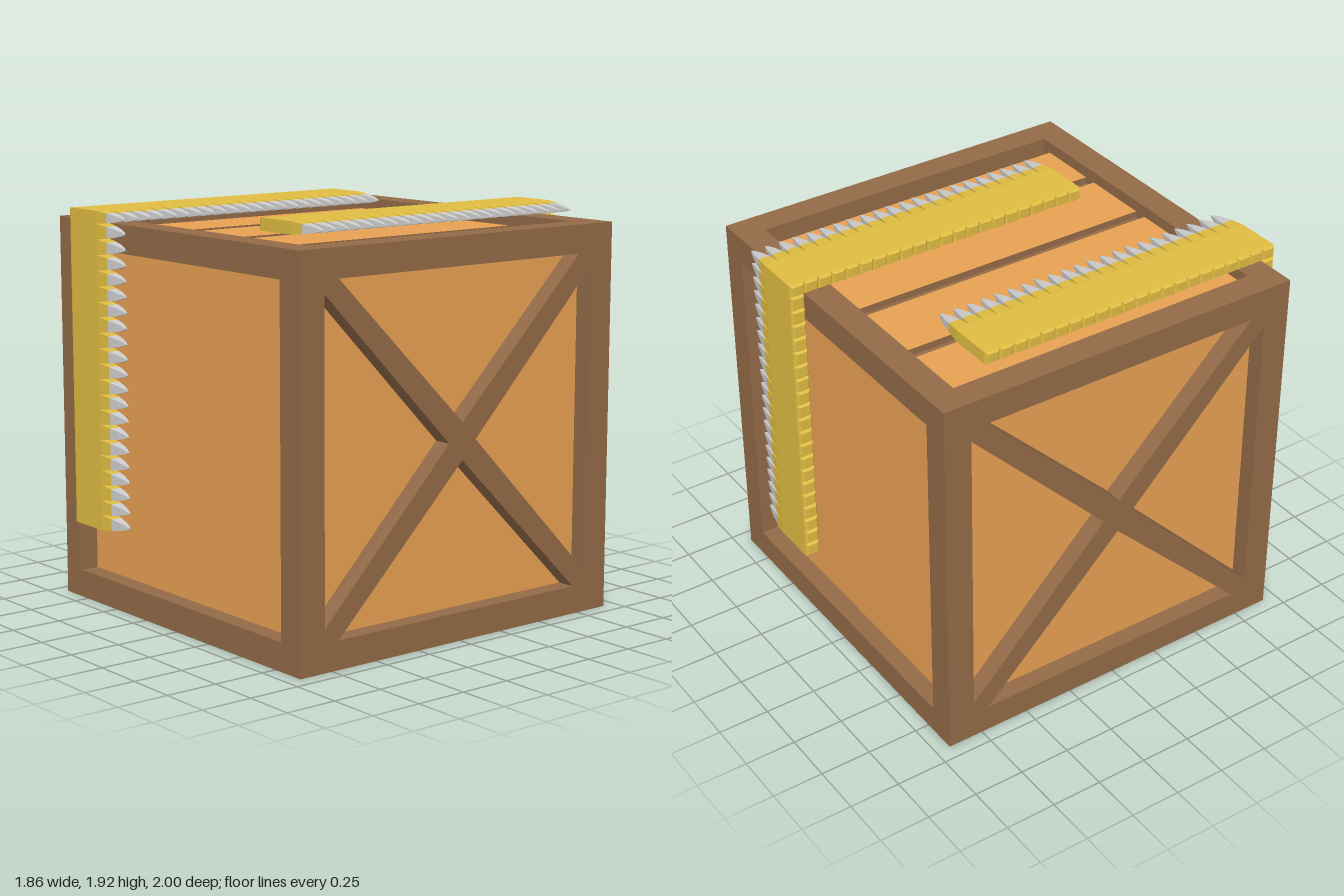
import * as THREE from 'three';
import { mergeGeometries } from 'three/addons/utils/BufferGeometryUtils.js';

const H = 0.928;       // half size of the crate
const BEAM = 0.135;    // frame beam width
const INNER = H - BEAM;
const CORE = 0.84;     // half size to the recessed panels
const PLANK = 0.873;   // half size to the plank faces on lid and base

const paint = (color) => new THREE.MeshStandardMaterial({ color, flatShading: true });
const frameMat = paint(0x936a47);
const panelMat = paint(0xe8a053);
const brassMat = paint(0xdfbc42);
const steelMat = paint(0xc4c4c4);

function box(parent, name, mat, size, pos) {
  const mesh = new THREE.Mesh(new THREE.BoxGeometry(...size), mat);
  mesh.position.set(...pos);
  mesh.name = name;
  parent.add(mesh);
}

// Square-sided spindle along +x; profile holds [distance, relative width]
function spindle(profile) {
  const pts = profile.map(([u, w]) => new THREE.Vector2(w * Math.SQRT1_2, u));
  return new THREE.LatheGeometry(pts, 4, Math.PI / 4).rotateZ(-Math.PI / 2);
}
const casing = spindle([[0, 0], [0, 0.72], [0.008, 0.92], [0.018, 1], [0.235, 1], [0.305, 0.76], [0.305, 0]]);
const tip = spindle([[0.305, 0.76], [0.36, 0.52], [0.4, 0.25], [0.425, 0]]);

// Belt lying on the lid and bending down one face; dir is the z side it hangs on
function belt(name, x, dir) {
  const slots = [];
  const topCount = 22, dropCount = 20;
  const topPitch = 1.585 / topCount, dropPitch = (2 * H - 0.4) / dropCount;
  for (let i = 0; i < topCount; i++) {
    slots.push({ y: 2 * H + 0.03, z: dir * (1 - (i + 0.5) * topPitch), h: 0.06, d: topPitch });
  }
  for (let i = 0; i < dropCount; i++) {
    slots.push({ y: 0.4 + (i + 0.5) * dropPitch, z: dir * (1 - topPitch / 2), h: dropPitch, d: topPitch });
  }
  const place = (geo) => mergeGeometries(
    slots.map((s) => geo.clone().scale(1, s.h, s.d).translate(x, s.y, s.z)));
  const group = new THREE.Group();
  group.name = name;
  const casings = new THREE.Mesh(place(casing), brassMat);
  casings.name = name + 'Casings';
  const tips = new THREE.Mesh(place(tip), steelMat);
  tips.name = name + 'Tips';
  group.add(casings, tips);
  return group;
}

// Diagonal cross filling the square opening of a side frame
function crossGeometry() {
  const a = INNER;
  const arm = [[0.08, 0], [a, 0.732], [a, a], [0.715, a], [0, 0.087]];
  const half = [...arm, ...arm.slice(1, 4).reverse().map(([x, y]) => [-x, y])];
  const outline = [...half, ...half.map(([x, y]) => [-x, -y])];
  const shape = new THREE.Shape(outline.map(([x, y]) => new THREE.Vector2(x, y)));
  return new THREE.ExtrudeGeometry(shape, { depth: H - CORE, bevelEnabled: false }).translate(0, 0, CORE);
}

export function createModel() {
  const model = new THREE.Group();
  model.name = 'crate';

  // Recessed side panels, with the dark floor of the lid and base gaps
  const coreMats = [panelMat, panelMat, frameMat, frameMat, panelMat, panelMat];
  box(model, 'panels', coreMats, [2 * CORE, 2 * CORE, 2 * CORE], [0, H, 0]);

  const frame = new THREE.Group();
  frame.name = 'frame';
  model.add(frame);
  const mid = H - BEAM / 2;
  const plankMats = [frameMat, frameMat, panelMat, panelMat, frameMat, frameMat];
  for (const s of [-1, 1]) {
    // Frame posts and rails
    for (const t of [-1, 1]) {
      box(frame, 'post', frameMat, [BEAM, 2 * H, BEAM], [s * mid, H, t * mid]);
      box(frame, 'crossRail', frameMat, [2 * INNER, BEAM, BEAM], [0, H + s * mid, t * mid]);
      box(frame, 'sideRail', frameMat, [BEAM, BEAM, 2 * INNER], [s * mid, H + t * mid, 0]);
    }
    // Diagonal braces on the left and right
    const brace = new THREE.Mesh(crossGeometry(), frameMat);
    brace.rotation.y = s * Math.PI / 2;
    brace.position.y = H;
    brace.name = 'crossBrace';
    frame.add(brace);
    // Lid and base planks, separated by narrow gaps
    for (const [x0, x1] of [[-0.742, -0.437], [-0.373, -0.032], [0.032, 0.373], [0.437, 0.742]]) {
      box(model, 'plank', plankMats, [x1 - x0, PLANK - CORE, 2 * INNER],
        [(x0 + x1) / 2, H + s * (PLANK + CORE) / 2, 0]);
    }
  }

  // Belts draped over the front and the back
  model.add(belt('frontBelt', -0.735, 1), belt('backBelt', 0.195, -1));
  return model;
}
